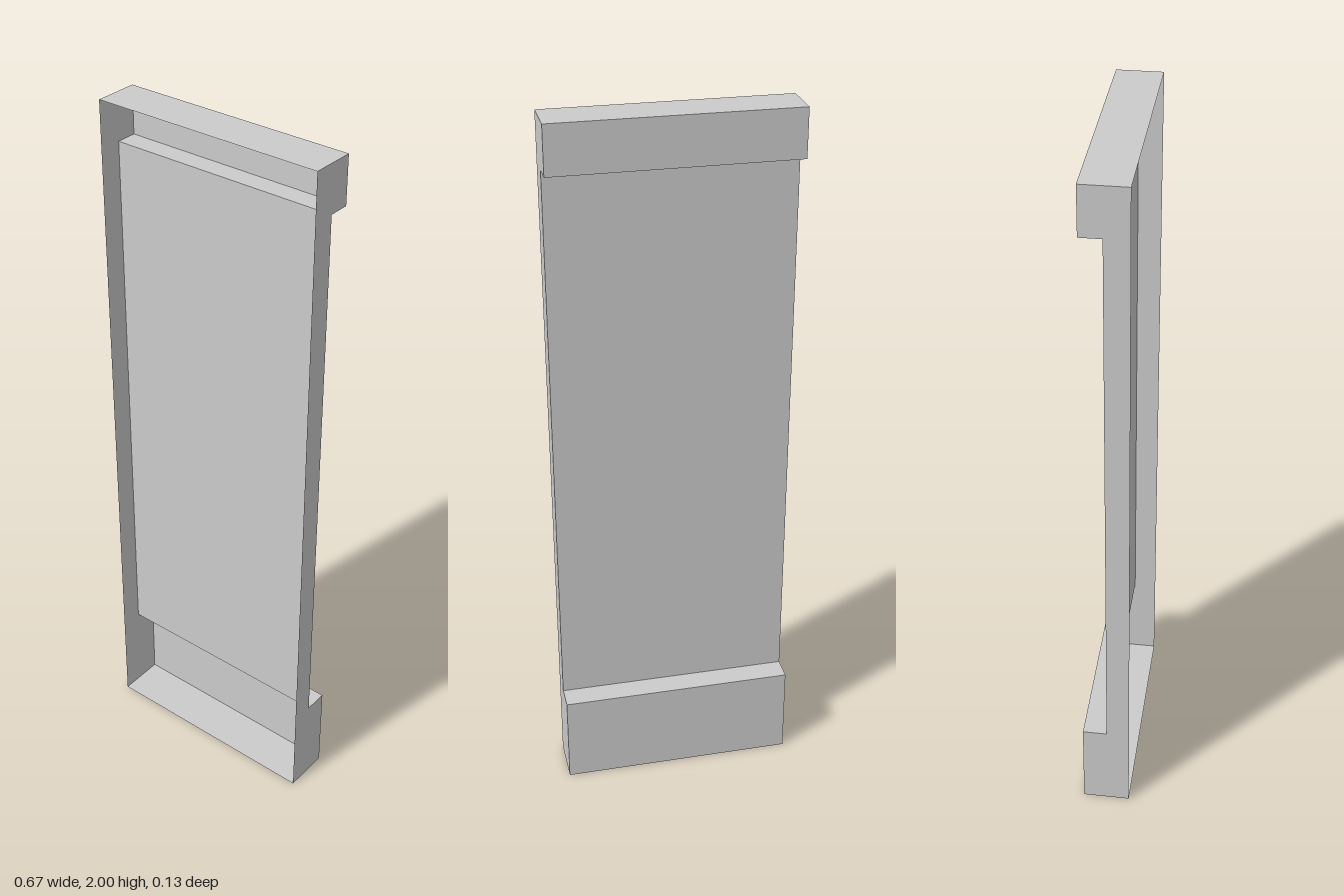
import * as THREE from 'three';

const HALF_W = 0.333;
const FRONT = 0.067;

// Side outline as [z, y], from the front bottom edge round the back to the front top edge
const PROFILE = [
  [FRONT, 0], [-0.067, 0], [-0.067, 0.266], [0.002, 0.266],
  [0.002, 1.867], [-0.057, 1.867], [-0.057, 2], [FRONT, 2],
];
const STRIP_NAMES = ['floor', 'lowerBackPanel', 'lowerLedge', 'mainPanel', 'upperLedge', 'upperBackPanel', 'top'];

export function createModel() {
  const group = new THREE.Group();
  group.name = 'openTray';
  const material = new THREE.MeshStandardMaterial({
    color: 0xcccccc, flatShading: true, side: THREE.DoubleSide,
  });

  const add = (geometry, name) => {
    const mesh = new THREE.Mesh(geometry, material);
    mesh.name = name;
    group.add(mesh);
    return mesh;
  };

  // Thin panels spanning the width, one per profile segment; the front stays open
  STRIP_NAMES.forEach((name, i) => {
    const [z0, y0] = PROFILE[i];
    const [z1, y1] = PROFILE[i + 1];
    const panel = add(new THREE.PlaneGeometry(2 * HALF_W, Math.hypot(z1 - z0, y1 - y0)), name);
    panel.position.set(0, (y0 + y1) / 2, (z0 + z1) / 2);
    // Turn the plane's height along the segment, with its front facing outwards
    panel.rotation.x = Math.atan2(z1 - z0, y1 - y0);
    panel.rotateY(Math.PI);
  });

  // Side walls cut to the stepped outline
  const outline = new THREE.Shape(PROFILE.map(([z, y]) => new THREE.Vector2(-z, y)));
  for (const side of [1, -1]) {
    const geometry = new THREE.ShapeGeometry(outline);
    geometry.rotateY(Math.PI / 2);
    if (side < 0) {
      // Reverse the winding so the wall faces outwards
      geometry.index.array.reverse();
      geometry.computeVertexNormals();
    }
    geometry.translate(side * HALF_W, 0, 0);
    add(geometry, side > 0 ? 'leftWall' : 'rightWall');
  }

  return group;
}
